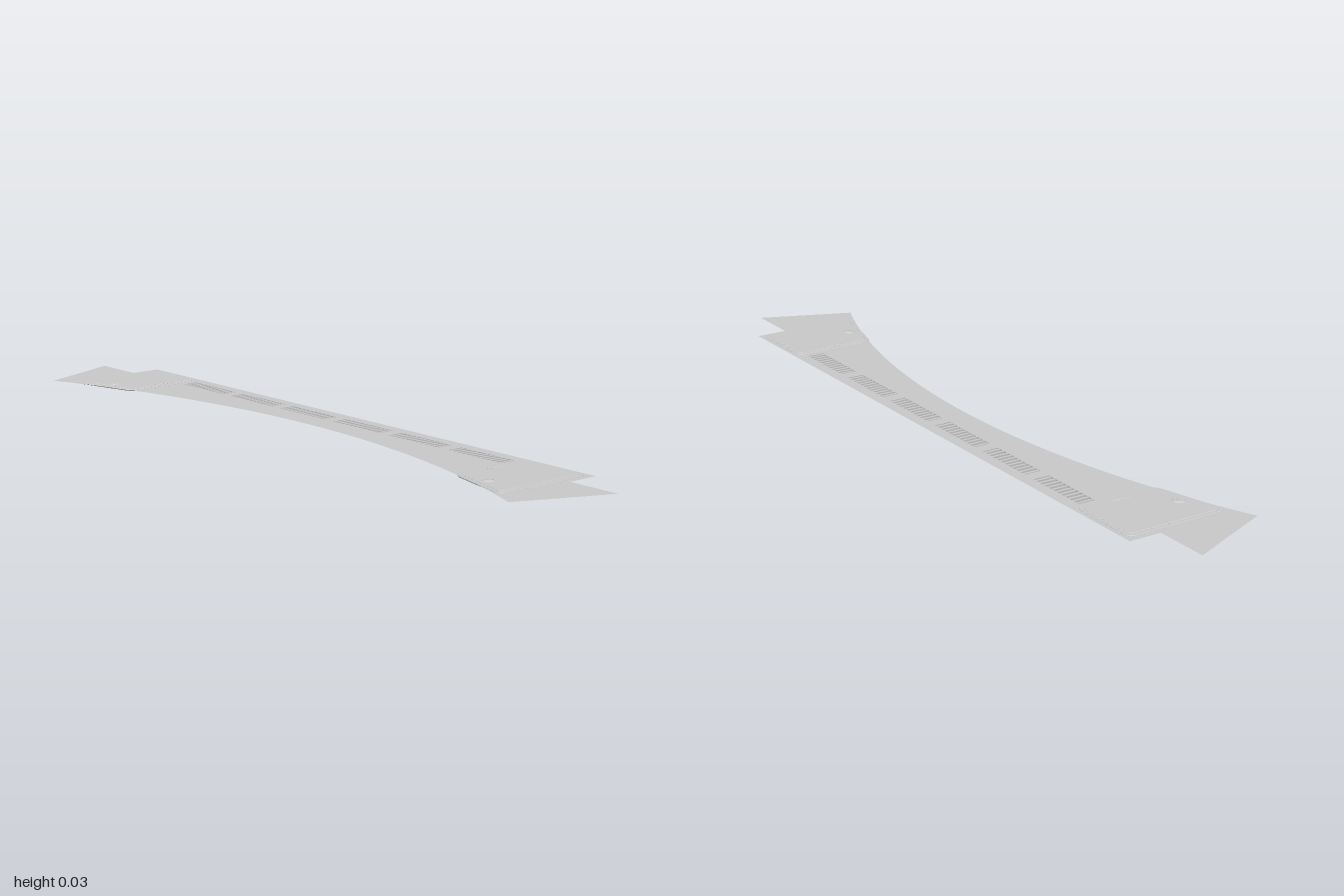
import * as THREE from 'three';

const mat = new THREE.MeshStandardMaterial({ color: 0xcccccc, flatShading: true });
const openMat = new THREE.MeshStandardMaterial({ color: 0xcccccc, side: THREE.DoubleSide });

const SHEET_Y = 0.0215;
const VENT = { width: 0.18, z0: -0.134, z1: -0.09, slats: 11 };
const ventCentres = [-0.535, -0.321, -0.107, 0.107, 0.321, 0.535];
const ventDepth = VENT.z1 - VENT.z0, ventZ = (VENT.z0 + VENT.z1) / 2;

// Plan points are [x, z]; shapes lie in the xz plane after layFlat
const plan = (points, Type = THREE.Shape) => new Type(points.map(([x, z]) => new THREE.Vector2(x, -z)));
const layFlat = (geometry, y) => geometry.rotateX(-Math.PI / 2).translate(0, y, 0);

function add(parent, name, geometry, material = mat) {
  const mesh = new THREE.Mesh(geometry, material);
  mesh.name = name;
  parent.add(mesh);
  return mesh;
}

// Flat panel with a curved front edge and an opening for each vent
function panelGeometry() {
  const outline = [[-1, -0.08], [-0.855, -0.08], [-0.855, -0.165], [0.855, -0.165], [0.855, -0.08], [1, -0.08]];
  const R = 2.34, n = 40;
  for (let i = 0; i <= n; i++) {
    const x = 0.9 - (1.8 * i) / n;
    outline.push([x, -0.02 + R - Math.sqrt(R * R - x * x)]);
  }
  const shape = plan(outline);
  for (const c of ventCentres) {
    const x0 = c - VENT.width / 2, x1 = c + VENT.width / 2;
    shape.holes.push(plan([[x0, VENT.z0], [x1, VENT.z0], [x1, VENT.z1], [x0, VENT.z1]], THREE.Path));
  }
  return layFlat(new THREE.ShapeGeometry(shape), SHEET_Y);
}

// Open-topped tray hanging below the panel, with slats across its mouth
function vent(x) {
  const group = new THREE.Group();
  group.name = 'vent';
  group.position.set(x, 0, ventZ);
  const tray = new THREE.BoxGeometry(VENT.width, SHEET_Y, ventDepth);
  tray.setIndex(Array.from(tray.index.array).filter((_, i) => i < 12 || i >= 18));
  add(group, 'ventTray', tray.translate(0, SHEET_Y / 2, 0), openMat);
  const pitch = VENT.width / VENT.slats;
  for (let i = 0; i < VENT.slats; i++) {
    const slat = add(group, 'ventSlat', new THREE.BoxGeometry(pitch * 0.45, 0.006, ventDepth));
    slat.position.set((i + 0.5) * pitch - VENT.width / 2, SHEET_Y - 0.0035, 0);
  }
  return group;
}

// Closed outline with rounded corners
function roundedPlan(points, r) {
  const v = points.map(([x, z]) => new THREE.Vector2(x, -z));
  const shape = new THREE.Shape();
  v.forEach((p, i) => {
    const prev = v[(i + v.length - 1) % v.length], next = v[(i + 1) % v.length];
    const a = p.clone().add(prev.clone().sub(p).setLength(r));
    const b = p.clone().add(next.clone().sub(p).setLength(r));
    if (i === 0) shape.moveTo(a.x, a.y); else shape.lineTo(a.x, a.y);
    shape.quadraticCurveTo(p.x, p.y, b.x, b.y);
  });
  shape.closePath();
  return shape;
}

// Plate from y0 to y1 whose edges slope in by the given inset
function plate(points, r, y0, y1, inset) {
  const rise = (y1 - y0) * 0.45;
  const geometry = new THREE.ExtrudeGeometry(roundedPlan(points, r), {
    depth: y1 - y0 - 2 * rise, curveSegments: 5, bevelEnabled: true,
    bevelThickness: rise, bevelSize: inset, bevelOffset: -inset, bevelSegments: 1,
  });
  return layFlat(geometry, y0 + rise);
}

// Raised access hatch with handle, hinge and round latch; s is the side
function hatch(s) {
  const group = new THREE.Group();
  group.name = s > 0 ? 'leftHatch' : 'rightHatch';
  const mirror = (points) => points.map(([x, z]) => [x * s, z]);
  const rect = (x0, x1, z0, z1) => mirror([[x0, z0], [x1, z0], [x1, z1], [x0, z1]]);
  const rim = mirror([[0.641, -0.154], [0.838, -0.154], [0.838, 0.126], [0.641, 0.074]]);
  const cover = mirror([[0.65, -0.145], [0.829, -0.145], [0.829, 0.114], [0.65, 0.067]]);
  add(group, 'hatchRim', plate(rim, 0.02, 0.0195, 0.0237, 0.0015));
  add(group, 'hatchCover', plate(cover, 0.016, 0.0225, 0.0252, 0.0015));
  add(group, 'hatchHinge', plate(rect(0.83, 0.854, -0.06, 0.035), 0.002, 0.0205, 0.0225, 0.0005));
  add(group, 'hatchHandle', plate(rect(0.651, 0.664, -0.068, -0.018), 0.002, 0.0245, 0.0268, 0.002));
  // Latch: low disc with a turning bar
  add(group, 'latchDisc', new THREE.CylinderGeometry(0.013, 0.017, 0.003, 20)).position.set(0.74 * s, 0.0263, 0.063);
  const bar = add(group, 'latchBar', new THREE.BoxGeometry(0.02, 0.001, 0.005));
  bar.position.set(0.74 * s, 0.028, 0.063);
  bar.rotation.y = 0.5 * s;
  return group;
}

export function createModel() {
  const model = new THREE.Group();
  model.name = 'ventedPanel';
  add(model, 'panel', panelGeometry(), openMat);
  for (const x of ventCentres) model.add(vent(x));
  for (const s of [1, -1]) model.add(hatch(s));
  return model;
}
